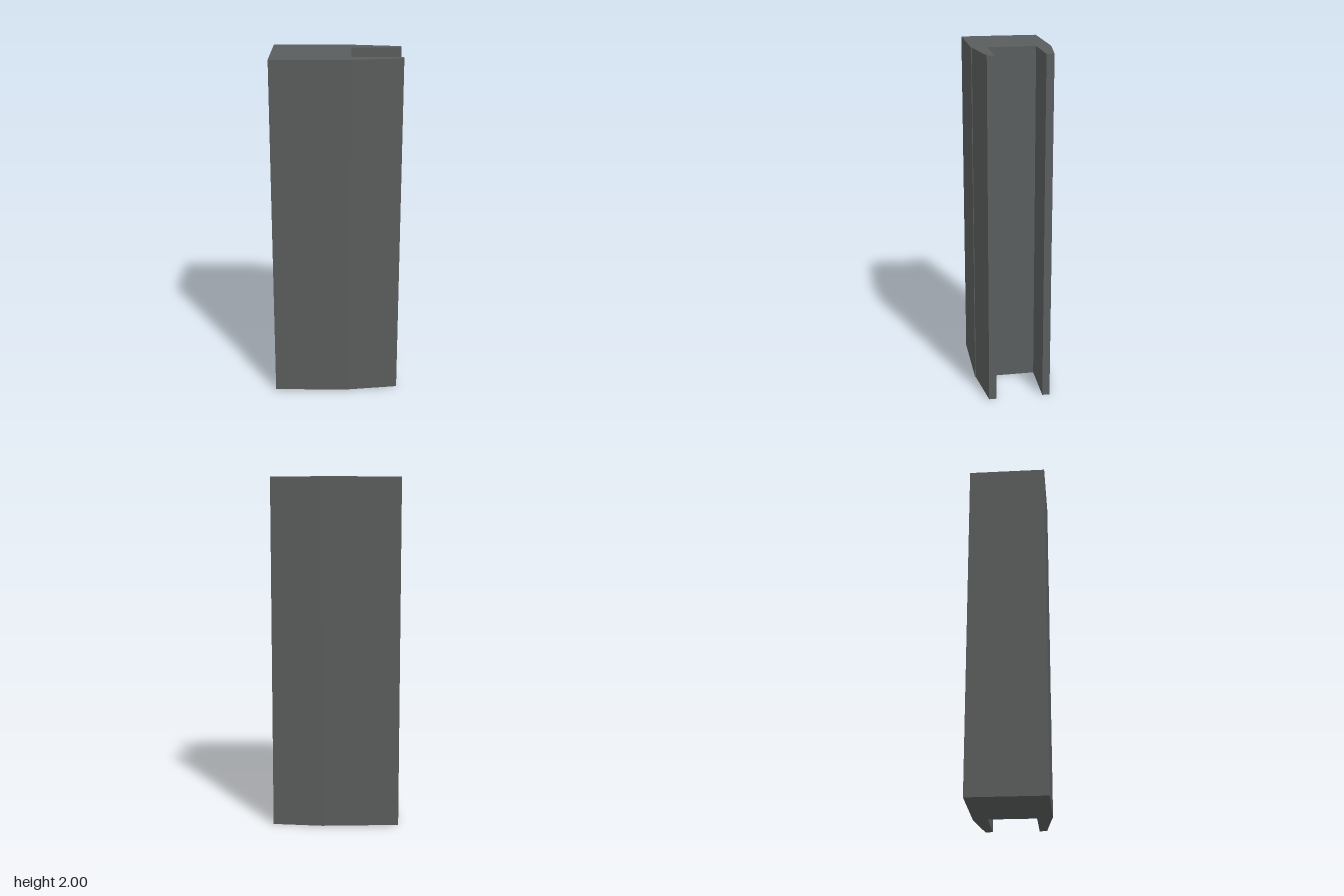
import * as THREE from 'three';

const HEIGHT = 2;
const metal = new THREE.MeshStandardMaterial({ color: 0x5a5d5d });
metal.name = 'dark grey';

// Upright prism from a plan outline of [x, z] corners
function prism(name, corners) {
  const shape = new THREE.Shape(corners.map(([x, z]) => new THREE.Vector2(x, -z)));
  const geometry = new THREE.ExtrudeGeometry(shape, { depth: HEIGHT, bevelEnabled: false });
  geometry.rotateX(-Math.PI / 2);
  const mesh = new THREE.Mesh(geometry, metal);
  mesh.name = name;
  return mesh;
}

export function createModel() {
  const group = new THREE.Group();
  group.name = 'slottedPost';

  // One continuous channel section: solid block with two tapering flanges
  group.add(prism('channelPost', [
    [-0.363, 0.222], [0.08, 0.222], [0.08, 0.218], // front of block
    [0.363, 0.177], [0.363, 0.134], // front flange
    [0.08, 0.134], [0.08, -0.138], // slot floor
    [0.363, -0.138], [0.363, -0.181], // back flange
    [0.08, -0.222], [-0.363, -0.222], // back of block
  ]));
  return group;
}
